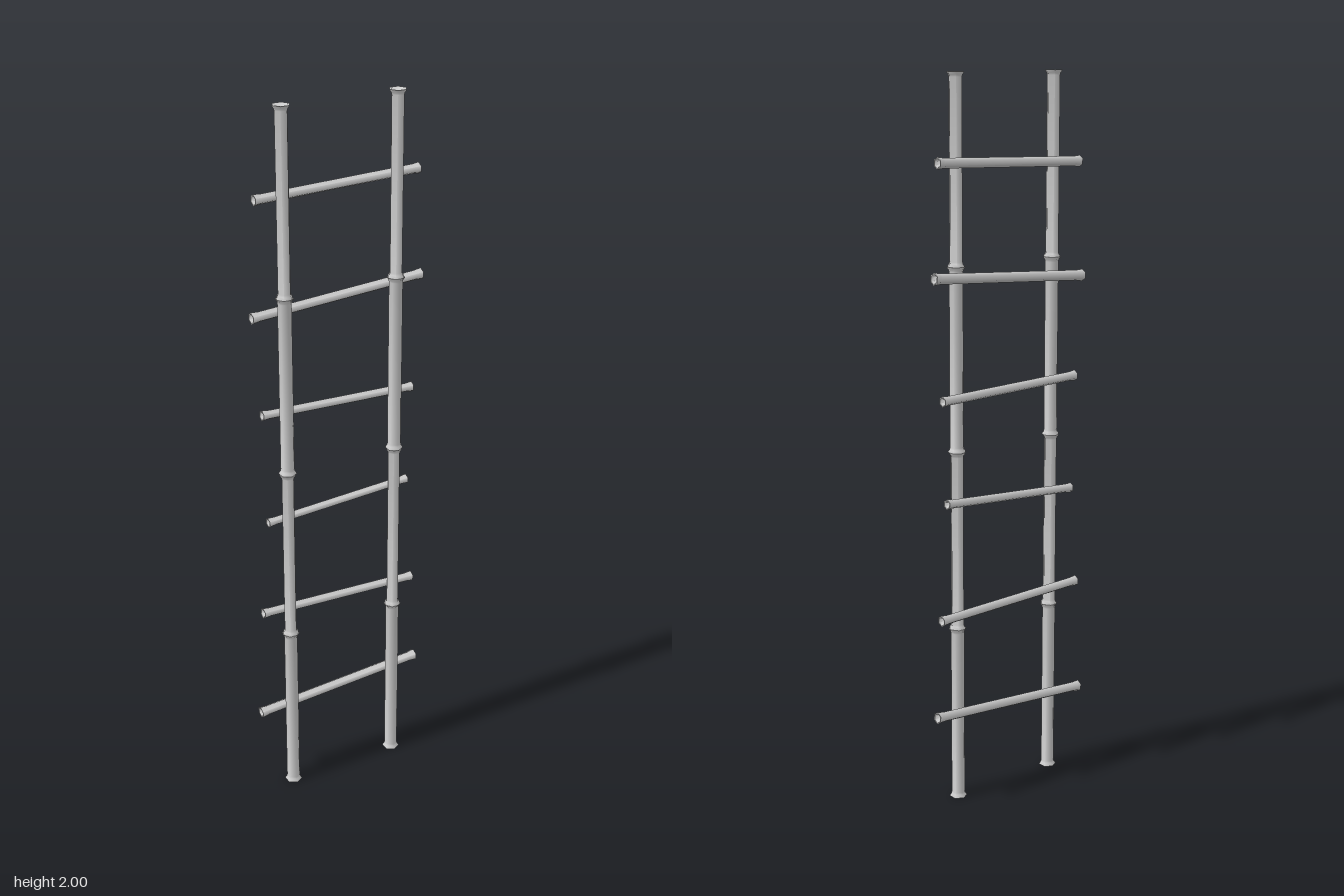
import * as THREE from 'three';
import { toCreasedNormals } from 'three/addons/utils/BufferGeometryUtils.js';

const material = new THREE.MeshStandardMaterial({ color: 0xcccccc });

// Six-sided bamboo length along y, centred, with flared lips and hollowed ends
function bamboo(length, radius, flare, lip) {
  const h = length / 2;
  const half = [ // from the body out to the rim, then into the hollow
    [radius, h - lip * 1.7],
    [radius * 1.08, h - lip],
    [flare * 0.96, h - lip * 0.4],
    [flare, h],
    [flare * 0.8, h],
    [radius * 0.65, h - lip * 0.8],
    [0, h - lip],
  ];
  const top = half.map(([r, y]) => new THREE.Vector2(r, y));
  const bottom = half.map(([r, y]) => new THREE.Vector2(r, -y)).reverse();
  return toCreasedNormals(new THREE.LatheGeometry([...bottom, ...top], 6), 1.1);
}

// Places a length of bamboo so that it runs from a to b
function addBetween(parent, name, geometry, a, b) {
  const mesh = new THREE.Mesh(geometry, material);
  mesh.name = name;
  mesh.position.copy(a).add(b).multiplyScalar(0.5);
  mesh.quaternion.setFromUnitVectors(new THREE.Vector3(0, 1, 0), b.clone().sub(a).normalize());
  parent.add(mesh);
}

export function createModel() {
  const ladder = new THREE.Group();
  ladder.name = 'bambooLadder';

  // Uprights: four jointed segments each, leaning slightly to the right
  const poles = [
    ['rightPole', -0.176, -0.183],
    ['leftPole', 0.157, 0.151],
  ];
  const twists = [0, Math.PI / 6, 0, Math.PI / 6];
  for (const [name, xBottom, xTop] of poles) {
    const pole = new THREE.Group();
    pole.name = name;
    const at = (t) => new THREE.Vector3(THREE.MathUtils.lerp(xBottom, xTop, t), 2 * t, 0.013);
    twists.forEach((twist, i) => {
      const geometry = bamboo(0.5, 0.0185, 0.0245, 0.008).rotateY(twist);
      addBetween(pole, 'poleSegment', geometry, at(i / 4), at((i + 1) / 4));
    });
    ladder.add(pole);
  }

  // Rungs behind the uprights: x and y of both ends, each at its own slant
  const rungs = [
    [-0.259, 0.236, 0.257, 0.272],
    [-0.245, 0.563, 0.24, 0.548],
    [-0.223, 0.844, 0.218, 0.872],
    [-0.235, 1.167, 0.23, 1.154],
    [-0.259, 1.446, 0.254, 1.48],
    [-0.245, 1.758, 0.24, 1.774],
  ];
  for (const [x0, y0, x1, y1] of rungs) {
    const a = new THREE.Vector3(x0, y0, -0.0245);
    const b = new THREE.Vector3(x1, y1, -0.0245);
    const length = a.distanceTo(b);
    const scale = length / 0.517;
    const geometry = bamboo(length, 0.0142 * scale, 0.0168 * scale, 0.012 * scale);
    addBetween(ladder, 'rung', geometry.rotateY(Math.PI / 6), a, b);
  }

  return ladder;
}
